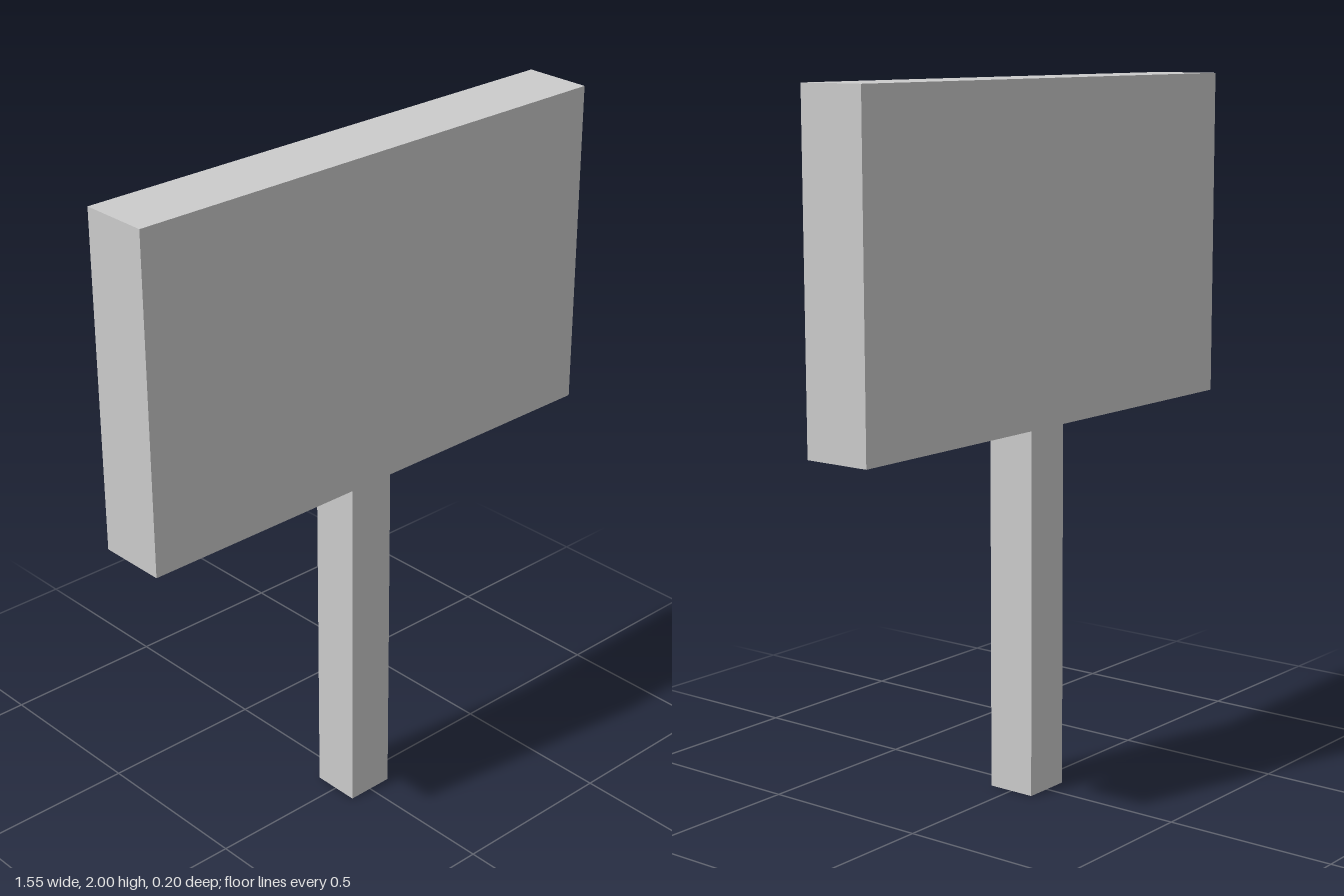
import * as THREE from 'three';

const BOARD_BOTTOM = 1.055;
const TOP = 2;

export function createModel() {
  const model = new THREE.Group();
  model.name = 'signpost';
  const material = new THREE.MeshStandardMaterial({ color: 0xcccccc, flatShading: true });

  // Adds a centred box spanning the given heights
  const addBox = (name, width, depth, bottom, top) => {
    const mesh = new THREE.Mesh(new THREE.BoxGeometry(width, top - bottom, depth), material);
    mesh.name = name;
    mesh.position.y = (bottom + top) / 2;
    model.add(mesh);
  };

  // Square post carrying the board
  addBox('post', 0.144, 0.144, 0, BOARD_BOTTOM);
  // Wide, thick sign board
  addBox('board', 1.55, 0.2, BOARD_BOTTOM, TOP);

  return model;
}
